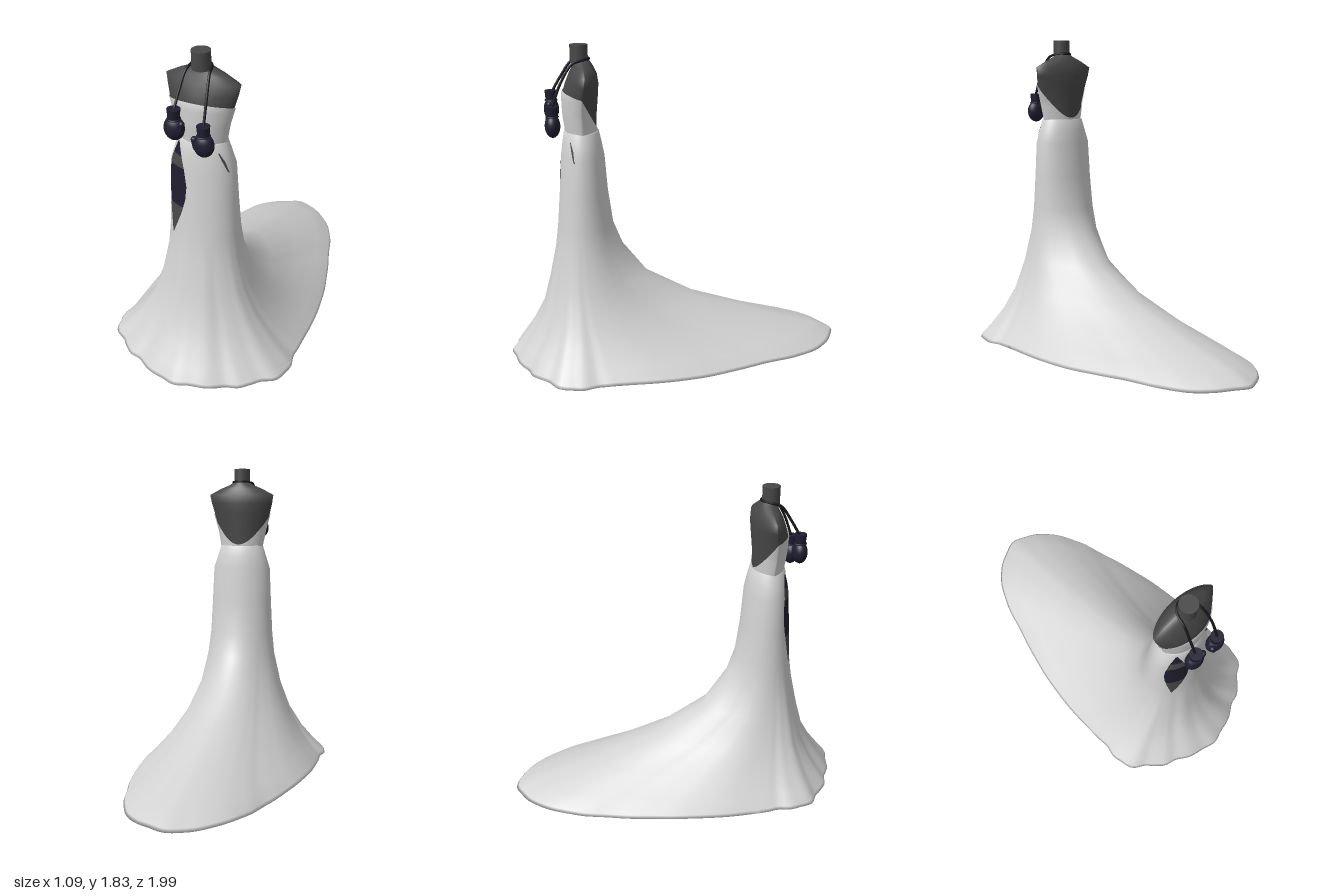
import * as THREE from 'three';

const mat = (name, color, side = THREE.FrontSide) => {
  const m = new THREE.MeshStandardMaterial({ color, side });
  m.name = name;
  return m;
};

// Profile rows from top to bottom; interpolate every column at height y
function at(keys, y) {
  let i = 0;
  while (i < keys.length - 2 && keys[i + 1][0] > y) i++;
  const a = keys[i], b = keys[i + 1];
  const t = THREE.MathUtils.clamp((a[0] - y) / (a[0] - b[0]), 0, 1);
  return a.map((v, k) => v + (b[k] - v) * t);
}

// Surface from a grid of points; rows run downwards, columns counter to x->z
function grid(rows, cols, closed, point) {
  const pos = [], idx = [];
  for (let j = 0; j < rows; j++)
    for (let i = 0; i < cols; i++) pos.push(...point(j, i));
  for (let j = 0; j < rows - 1; j++)
    for (let i = 0; i < (closed ? cols : cols - 1); i++) {
      const n = (i + 1) % cols;
      const a = j * cols + i, b = j * cols + n, c = a + cols, d = b + cols;
      idx.push(a, b, c, b, d, c);
    }
  const g = new THREE.BufferGeometry();
  g.setAttribute('position', new THREE.Float32BufferAttribute(pos, 3));
  g.setIndex(idx);
  g.computeVertexNormals();
  return g;
}

// Skirt: y, half width, front z, back z, centre z, hem blend, fold depth
const SKIRT = [
  [1.356, 0.125, 0.62, 0.455, 0.54, 0, 0],
  [1.35, 0.136, 0.637, 0.44, 0.54, 0, 0],
  [1.29, 0.155, 0.647, 0.427, 0.54, 0, 0],
  [1.21, 0.181, 0.658, 0.412, 0.54, 0, 0],
  [1.0, 0.19, 0.673, 0.397, 0.54, 0, 0],
  [0.8, 0.2, 0.69, 0.37, 0.54, 0, 0],
  [0.66, 0.216, 0.71, 0.315, 0.53, 0.15, 0.5],
  [0.47, 0.258, 0.752, 0.165, 0.52, 0.35, 1],
  [0.3, 0.325, 0.8, -0.15, 0.49, 0.55, 1],
  [0.17, 0.405, 0.875, -0.55, 0.45, 0.75, 0.7],
  [0.08, 0.48, 0.945, -0.86, 0.42, 0.9, 0.3],
  [0.025, 0.535, 0.99, -0.985, 0.4, 1, 0],
  [0.008, 0.545, 1.0, -1.0, 0.4, 1, 0],
  [0.016, 0.53, 0.985, -0.975, 0.4, 1, 0],
];
// Scalloped hem: radius every 10 degrees from front to back
const HEM = [0.99, 0.964, 0.972, 0.96, 1.012, 1.02, 1.09, 1.06, 0.985, 0.98,
  0.99, 0.985, 0.97, 0.965, 0.99, 1.0, 0.995, 0.99, 1];

function hemRadius(a) {
  const deg = THREE.MathUtils.radToDeg(Math.asin(THREE.MathUtils.clamp(Math.sin(a), -1, 1)));
  const f = (90 - deg) / 10, i = Math.min(17, Math.floor(f));
  const t = f - i;
  return THREE.MathUtils.lerp(HEM[i], HEM[i + 1], t * t * (3 - 2 * t));
}

function skirtPoint(k, a) {
  const [y, hw, zf, zb, zc, blend, fold] = k;
  const s = Math.sin(a);
  // Soft folds in front, and a pinch where the train leaves the hips
  const pinch = s < 0 ? 0.09 * Math.sin(2 * Math.asin(-s)) ** 2 : 0;
  const r = 1 + (hemRadius(a) - 1) * blend + fold * (0.015 * Math.cos(10 * a) * Math.max(0, s) - pinch);
  const wave = y < 0.05 ? 0.004 * Math.cos(9 * a) : 0;
  return [hw * r * Math.cos(a), y + wave, zc + r * s * (s > 0 ? zf - zc : zc - zb)];
}

// Thin panel laid on the front of the skirt between two edges: rows of y, x0, x1
function panel(edges, top, bottom, lift) {
  const rows = 24, cols = 12;
  return grid(rows, cols, false, (j, i) => {
    const y = top + (bottom - top) * j / (rows - 1);
    const [, x0, x1] = at(edges, y);
    const [, hw, zf, , zc] = at(SKIRT, y);
    const x = x1 + (x0 - x1) * i / (cols - 1), u = x / hw;
    const c = Math.sqrt(Math.max(0, 1 - u * u));
    return [x + lift * u, y, zc + (zf - zc) * c + lift * c];
  });
}

// Torso: y, half width, front z, back z
const TORSO = [
  [1.755, 0.045, 0.565, 0.49],
  [1.735, 0.075, 0.572, 0.475],
  [1.71, 0.135, 0.582, 0.46],
  [1.672, 0.207, 0.6, 0.443],
  [1.62, 0.197, 0.622, 0.436],
  [1.56, 0.181, 0.64, 0.44],
  [1.45, 0.15, 0.637, 0.45],
  [1.33, 0.127, 0.622, 0.455],
];
function torsoPoint(y, a, grow) {
  const [, hw, zf, zb] = at(TORSO, y);
  const s = Math.sin(a), zc = (zf + zb) / 2;
  const z = Math.sign(s) * Math.abs(s) ** 1.35 * ((zf - zb) / 2 + grow);
  return [(hw + grow) * Math.cos(a), y, zc + z];
}

export function createModel() {
  const fabric = mat('ivory fabric', 0xd2d2d2, THREE.DoubleSide);
  const form = mat('charcoal form', 0x484848, THREE.DoubleSide);
  const navy = mat('navy leather', 0x1e1e30, THREE.DoubleSide);
  const cordMat = mat('black cord', 0x15151c);

  const model = new THREE.Group();
  const add = (name, geometry, material, parent = model) => {
    const m = new THREE.Mesh(geometry, material);
    m.name = name;
    parent.add(m);
    return m;
  };
  const N = 144, angle = i => i / N * Math.PI * 2;

  // Dress
  add('skirt', grid(SKIRT.length, N, true, (j, i) => skirtPoint(SKIRT[j], angle(i))), fabric);
  add('bodice', grid(12, N, true, (j, i) => {
    const s = Math.sin(angle(i)), d = Math.abs(s) ** 1.35;
    const top = s > 0 ? 1.553 + 0.03 * d : 1.553 - 0.19 * d;
    return torsoPoint(top + (1.345 - top) * j / 11, angle(i), 0.006);
  }), fabric);

  // Opening over the right thigh, with shorts and leg showing
  const slit = [
    [1.345, -0.102, -0.098], [1.25, -0.143, -0.072], [1.2, -0.158, -0.058],
    [1.1, -0.165, -0.042], [1.02, -0.163, -0.05], [0.93, -0.155, -0.075], [0.79, -0.137, -0.132],
  ];
  [['shortsWaistband', 1.34, 1.265, navy], ['hipSkin', 1.265, 1.2, form],
    ['shorts', 1.2, 0.97, navy], ['thighSkin', 0.97, 0.79, form]]
    .forEach(([name, t, b, m]) => add(name, panel(slit, t, b, 0.004), m));
  // Narrow opening at the left hip
  add('hipOpening', panel([[1.31, 0.114, 0.118], [1.26, 0.136, 0.146], [1.2, 0.164, 0.168]],
    1.31, 1.2, 0.003), form);

  // Dress form
  add('torso', grid(TORSO.length, N, true, (j, i) => torsoPoint(TORSO[j][0], angle(i), 0)), form);
  const neck = add('neck', new THREE.CylinderGeometry(0.05, 0.05, 0.1, 32), form);
  neck.position.set(0, 1.785, 0.54);

  // Gloves hung from a cord around the neck
  [['rightGlove', -0.08, 1.57, 0.3], ['leftGlove', 0.082, 1.507, 2.6]].forEach(([name, x, y, turn]) => {
    const glove = new THREE.Group();
    glove.name = name;
    glove.position.set(x, y, 0.7);
    const cuff = add('cuff', new THREE.CylinderGeometry(0.035, 0.03, 0.06, 24), navy, glove);
    cuff.position.y = -0.03;
    const rim = add('cuffRim', new THREE.TorusGeometry(0.032, 0.005, 8, 24), navy, glove);
    rim.rotation.x = Math.PI / 2;
    rim.position.y = -0.056;
    const fist = add('fist', new THREE.SphereGeometry(1, 28, 20), navy, glove);
    fist.scale.set(0.056, 0.066, 0.043);
    fist.position.y = -0.108;
    const thumb = add('thumb', new THREE.CapsuleGeometry(0.016, 0.045, 6, 14), navy, glove);
    thumb.position.set(0.045 * Math.cos(turn), -0.095, 0.04 * Math.sin(turn));
    thumb.rotation.z = -0.25 * Math.cos(turn);
    model.add(glove);
  });
  const path = new THREE.CatmullRomCurve3([
    [-0.08, 1.56, 0.695], [-0.074, 1.65, 0.642], [-0.064, 1.735, 0.58], [-0.05, 1.752, 0.52],
    [0, 1.756, 0.484], [0.05, 1.752, 0.52], [0.064, 1.735, 0.58], [0.078, 1.64, 0.645],
    [0.083, 1.5, 0.7],
  ].map(p => new THREE.Vector3(...p)));
  add('cord', new THREE.TubeGeometry(path, 80, 0.0075, 8), cordMat);

  return model;
}
